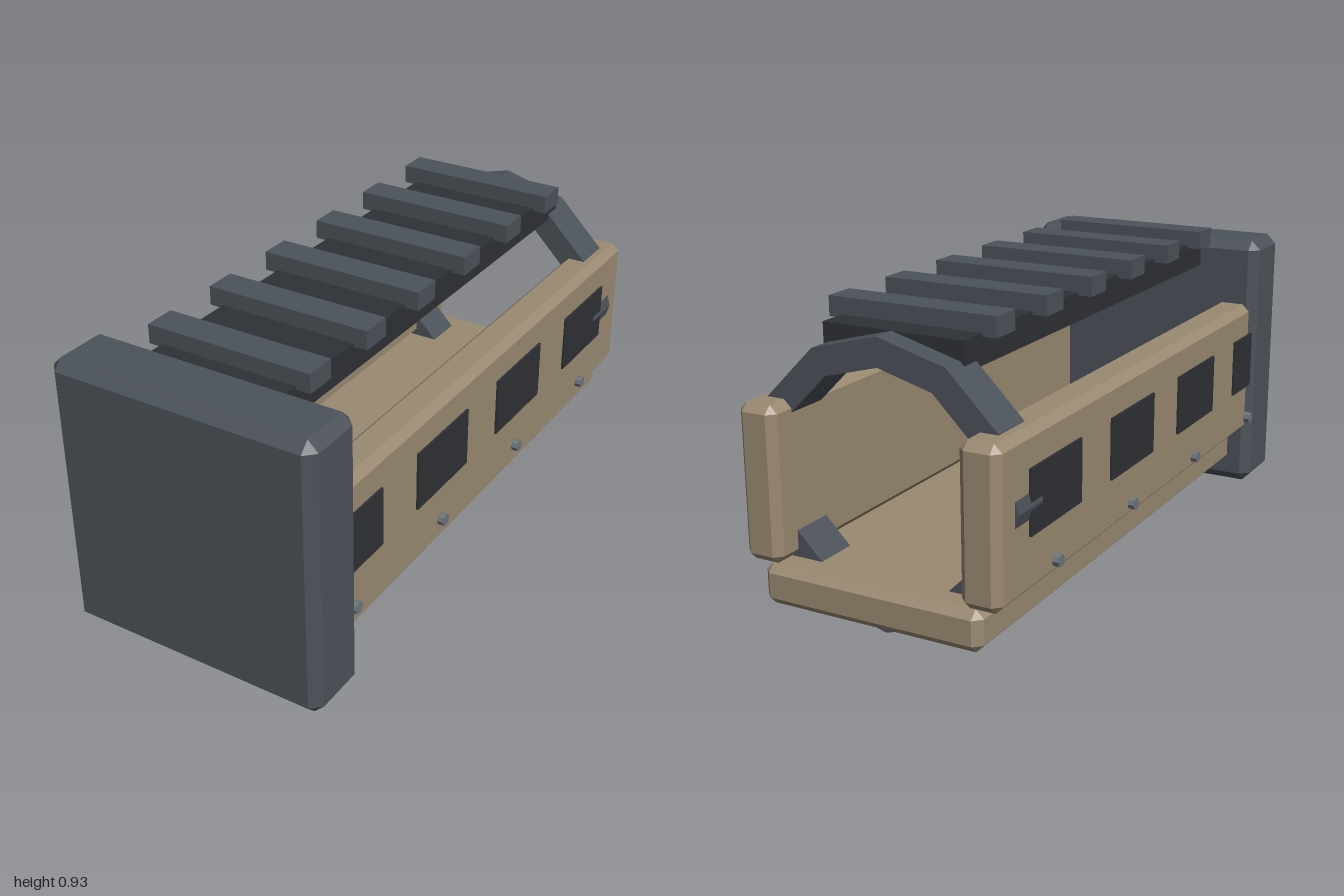
import * as THREE from 'three';
import { ConvexGeometry } from 'three/addons/geometries/ConvexGeometry.js';

const material = (color) => new THREE.MeshStandardMaterial({ color, flatShading: true });

// Box with every edge chamfered by c, given its min and max corners
function chamferedBox(min, max, c) {
  const points = [];
  for (const i of [0, 1]) for (const j of [0, 1]) for (const k of [0, 1]) {
    const side = [i, j, k];
    for (let full = 0; full < 3; full++) {
      const p = side.map((s, a) => {
        const inset = a === full ? 0 : c;
        return s ? max[a] - inset : min[a] + inset;
      });
      points.push(new THREE.Vector3(...p));
    }
  }
  return new ConvexGeometry(points);
}

// Plain box given its min and max corners
function box(min, max) {
  const g = new THREE.BoxGeometry(...max.map((v, a) => v - min[a]));
  return g.translate(...max.map((v, a) => (v + min[a]) / 2));
}

function polygon(Type, radius, sides) {
  const pts = [];
  for (let i = 0; i < sides; i++) {
    const a = (i / sides) * Math.PI * 2;
    pts.push(new THREE.Vector2(Math.cos(a) * radius, Math.sin(a) * radius));
  }
  return new Type(pts);
}

export function createModel() {
  const model = new THREE.Group();
  const tan = material(0x9a8a72);
  const grey = material(0x4c525a);
  const dark = material(0x2e3136);
  const steel = material(0x6c757d);

  function add(name, geometry, mat) {
    const mesh = new THREE.Mesh(geometry, mat);
    mesh.name = name;
    model.add(mesh);
    return mesh;
  }

  // Front block
  add('frontBlock', chamferedBox([-0.435, 0, 0.78], [0.435, 0.887, 1], 0.032), grey);

  // Floor panel
  add('bottomPanel', chamferedBox([-0.355, 0.075, -1], [0.355, 0.2, 0.8], 0.025), tan);

  // Side panels with dark vents and screws
  const centres = [0.785, 0.293, -0.198, -0.69];
  for (const s of [1, -1]) {
    const side = s > 0 ? 'left' : 'right';
    const x0 = s > 0 ? 0.29 : -0.415;
    add(side + 'Panel', chamferedBox([x0, 0.2, -1], [x0 + 0.125, 0.665, 0.8], 0.024), tan);
    for (const z of centres) {
      const vent = add(side + 'Vent', new THREE.BoxGeometry(0.03, 0.19, 0.297), dark);
      vent.position.set(s * 0.407, 0.465, z);
      const screw = add(side + 'Screw', new THREE.CylinderGeometry(0.019, 0.019, 0.04, 8), steel);
      screw.rotation.z = Math.PI / 2;
      screw.position.set(s * 0.415, 0.25, z);
    }
  }

  // Twelve-sided ring around the rear end
  const ringShape = polygon(THREE.Shape, 0.425, 12);
  ringShape.holes.push(polygon(THREE.Path, 0.34, 12));
  const ring = add('rearRing',
    new THREE.ExtrudeGeometry(ringShape, { depth: 0.135, bevelEnabled: false }), grey);
  ring.position.set(0, 0.455, -0.913);

  // Top rail with cross ribs
  add('topRail', box([-0.225, 0.79, -0.84], [0.225, 0.88, 0.8]), dark);
  for (let i = 0; i < 6; i++) {
    const z = 0.707 - i * 0.281;
    add('railRib', box([-0.27, 0.87, z - 0.05], [0.27, 0.93, z + 0.05]), grey);
  }

  return model;
}
